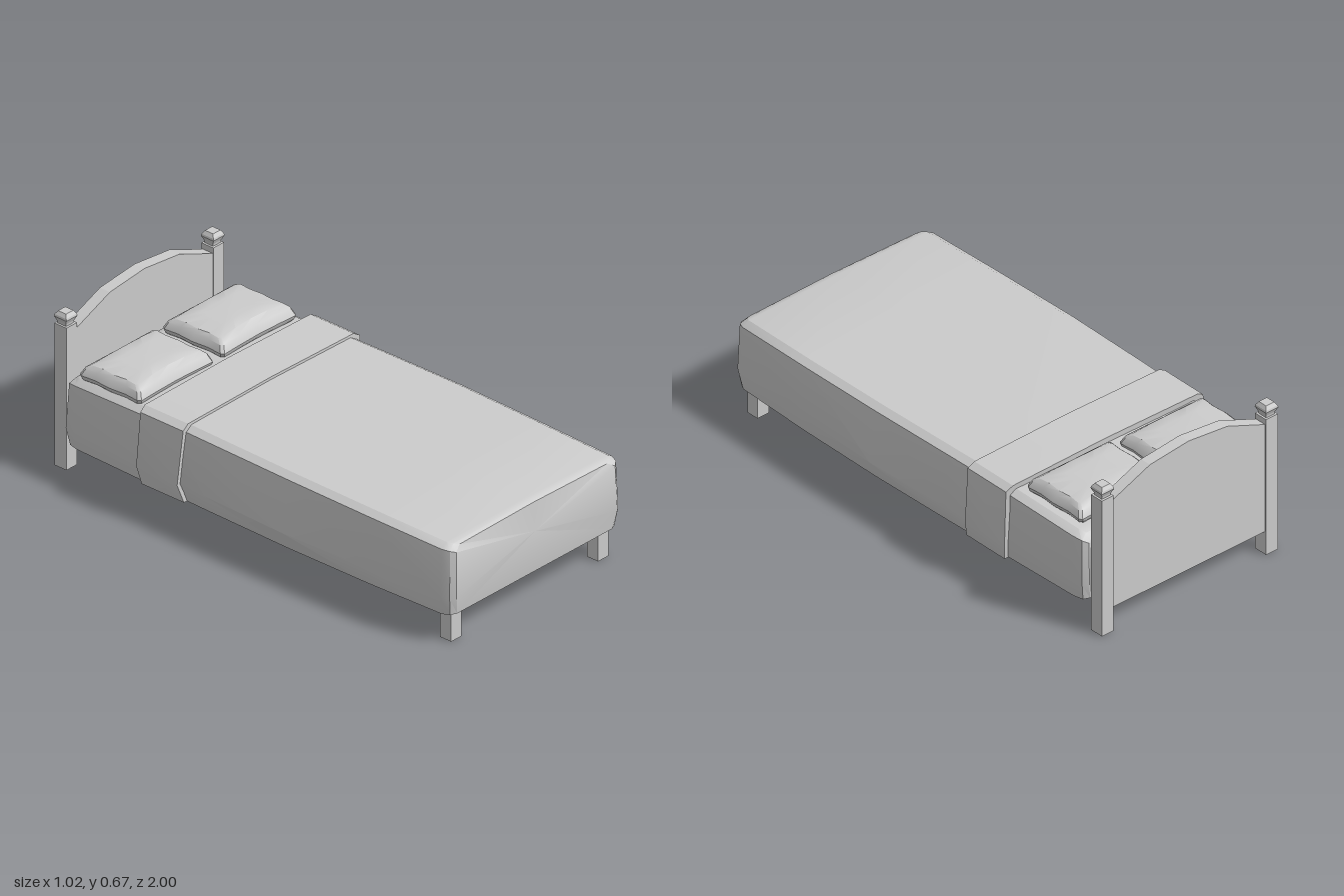
import * as THREE from 'three';
import { toCreasedNormals } from 'three/addons/utils/BufferGeometryUtils.js';

const material = new THREE.MeshStandardMaterial({ color: 0xcccccc });

function add(parent, name, geometry, x = 0, y = 0, z = 0, crease = 0.5) {
  const mesh = new THREE.Mesh(toCreasedNormals(geometry, crease), material);
  mesh.name = name;
  mesh.position.set(x, y, z);
  parent.add(mesh);
  return mesh;
}

// Skins a row of equal-length closed rings and caps both ends.
function loft(rings) {
  const n = rings[0].length;
  const pos = rings.flat(2);
  const index = [];
  for (let i = 0; i < rings.length - 1; i++) {
    for (let j = 0; j < n; j++) {
      const k = (j + 1) % n;
      const a = i * n + j, b = i * n + k, c = b + n, d = a + n;
      index.push(a, b, c, a, c, d);
    }
  }
  for (const end of [0, rings.length - 1]) {
    const centre = pos.length / 3;
    for (let c = 0; c < 3; c++) pos.push(rings[end].reduce((s, p) => s + p[c], 0) / n);
    for (let j = 0; j < n; j++) {
      const a = end * n + j, b = end * n + (j + 1) % n;
      if (end) index.push(centre, a, b);
      else index.push(centre, b, a);
    }
  }
  const geometry = new THREE.BufferGeometry();
  geometry.setAttribute('position', new THREE.Float32BufferAttribute(pos, 3));
  geometry.setIndex(index);
  return geometry;
}

// Cross-section of the bedding: half-widths at hem, bulge and shoulder, then crown height.
function section({ z, hem, bulge, shoulder, top, dz = [0, 0, 0, 0] }) {
  const half = [
    [hem, 0.125, z + dz[0]],
    [bulge, 0.2, z + dz[1]],
    [shoulder, top - 0.025, z + dz[2]],
    [shoulder - 0.03, top - 0.007, z + dz[3]],
  ];
  const mirrored = half.map(([x, y, w]) => [-x, y, w]).reverse();
  return [...half, [0, top, z + dz[3]], ...mirrored];
}

// Puffy cushion made of stacked rings with pinched sides and a crowned top.
function pillowGeometry() {
  const outline = [[1, 0], [0.97, 0.5], [1, 0.92], [0.95, 1], [0.5, 0.97], [0, 0.95]];
  const quarter2 = outline.slice(0, 5).reverse().map(([x, z]) => [-x, z]);
  const upper = [...outline, ...quarter2];
  const lower = upper.slice(1, -1).map(([x, z]) => [-x, -z]);
  const plan = [...upper, ...lower];
  const levels = [
    [0, 0.88, 0.86, 0], [0.02, 0.98, 0.97, 0], [0.035, 1, 1, 0],
    [0.062, 0.94, 0.9, 0.006], [0.074, 0.86, 0.74, 0.014], [0.078, 0.45, 0.4, 0.014],
  ];
  return loft(levels.map(([y, sx, sz, crown]) => plan.map(([x, z]) =>
    [x * sx * 0.205, y + crown * (1 - (x * sx) ** 2), -z * sz * 0.152])));
}

export function createModel() {
  const bed = new THREE.Group();
  bed.name = 'bed';

  // Arched headboard
  const arch = new THREE.Shape([
    [-0.385, 0.1], [0.385, 0.1], [0.385, 0.57], [0.375, 0.575], [0.19, 0.65],
    [0, 0.67], [-0.19, 0.65], [-0.375, 0.575], [-0.385, 0.57],
  ].map(([x, y]) => new THREE.Vector2(x, y)));
  add(bed, 'headboard', new THREE.ExtrudeGeometry(arch, { depth: 0.05, bevelEnabled: false }), 0, 0, -0.993, 0.1);

  // Posts with square finials, and front legs
  const finialProfile = [[0, 0.595], [0.02, 0.595], [0.022, 0.61], [0.031, 0.63], [0.029, 0.638], [0.02, 0.652], [0, 0.652]]
    .map(([halfWidth, y]) => new THREE.Vector2(halfWidth * Math.SQRT2, y));
  for (const side of [1, -1]) {
    const label = side > 0 ? 'left' : 'right';
    const x = side * 0.403;
    add(bed, label + 'HeadPost', new THREE.BoxGeometry(0.058, 0.6, 0.06), x, 0.3, -0.97);
    const finial = new THREE.LatheGeometry(finialProfile, 4).rotateY(Math.PI / 4);
    add(bed, label + 'Finial', finial, x, 0, -0.97, 0.2);
    add(bed, label + 'FrontLeg', new THREE.BoxGeometry(0.058, 0.15, 0.056), x, 0.075, 0.937);
  }

  // Mattress, rounded at the head end
  add(bed, 'mattress', loft([
    section({ z: -0.935, hem: 0.42, bulge: 0.435, shoulder: 0.43, top: 0.4, dz: [0.015, 0, 0.01, 0.02] }),
    section({ z: -0.92, hem: 0.445, bulge: 0.458, shoulder: 0.45, top: 0.412, dz: [0.01, 0, 0.01, 0.02] }),
    section({ z: -0.87, hem: 0.455, bulge: 0.47, shoulder: 0.462, top: 0.42 }),
    section({ z: -0.4, hem: 0.47, bulge: 0.485, shoulder: 0.465, top: 0.428 }),
  ]));

  // Blanket, flaring at mid-length and rounded at the foot
  add(bed, 'blanket', loft([
    section({ z: -0.42, hem: 0.465, bulge: 0.485, shoulder: 0.465, top: 0.438 }),
    section({ z: -0.2, hem: 0.472, bulge: 0.497, shoulder: 0.47, top: 0.438 }),
    section({ z: 0.2, hem: 0.48, bulge: 0.51, shoulder: 0.477, top: 0.436 }),
    section({ z: 0.6, hem: 0.477, bulge: 0.495, shoulder: 0.474, top: 0.43 }),
    section({ z: 0.95, hem: 0.465, bulge: 0.475, shoulder: 0.468, top: 0.425 }),
    section({ z: 0.985, hem: 0.45, bulge: 0.462, shoulder: 0.455, top: 0.421, dz: [-0.008, 0, -0.005, -0.015] }),
    section({ z: 1, hem: 0.425, bulge: 0.44, shoulder: 0.435, top: 0.414, dz: [-0.012, 0, -0.006, -0.018] }),
  ]));

  // Turned-down sheet band
  const band = { hem: 0.485, bulge: 0.506, shoulder: 0.484, top: 0.449 };
  add(bed, 'foldedSheet', loft([
    section({ ...band, z: -0.535, bulge: 0.498, dz: [0.015, 0, 0.008, 0.003] }),
    section({ ...band, z: -0.32, dz: [0.01, -0.005, 0.005, 0.002] }),
  ]));

  // Pillows
  add(bed, 'leftPillow', pillowGeometry(), 0.215, 0.408, -0.717, 0.6);
  add(bed, 'rightPillow', pillowGeometry(), -0.237, 0.4, -0.72, 0.6);

  return bed;
}
